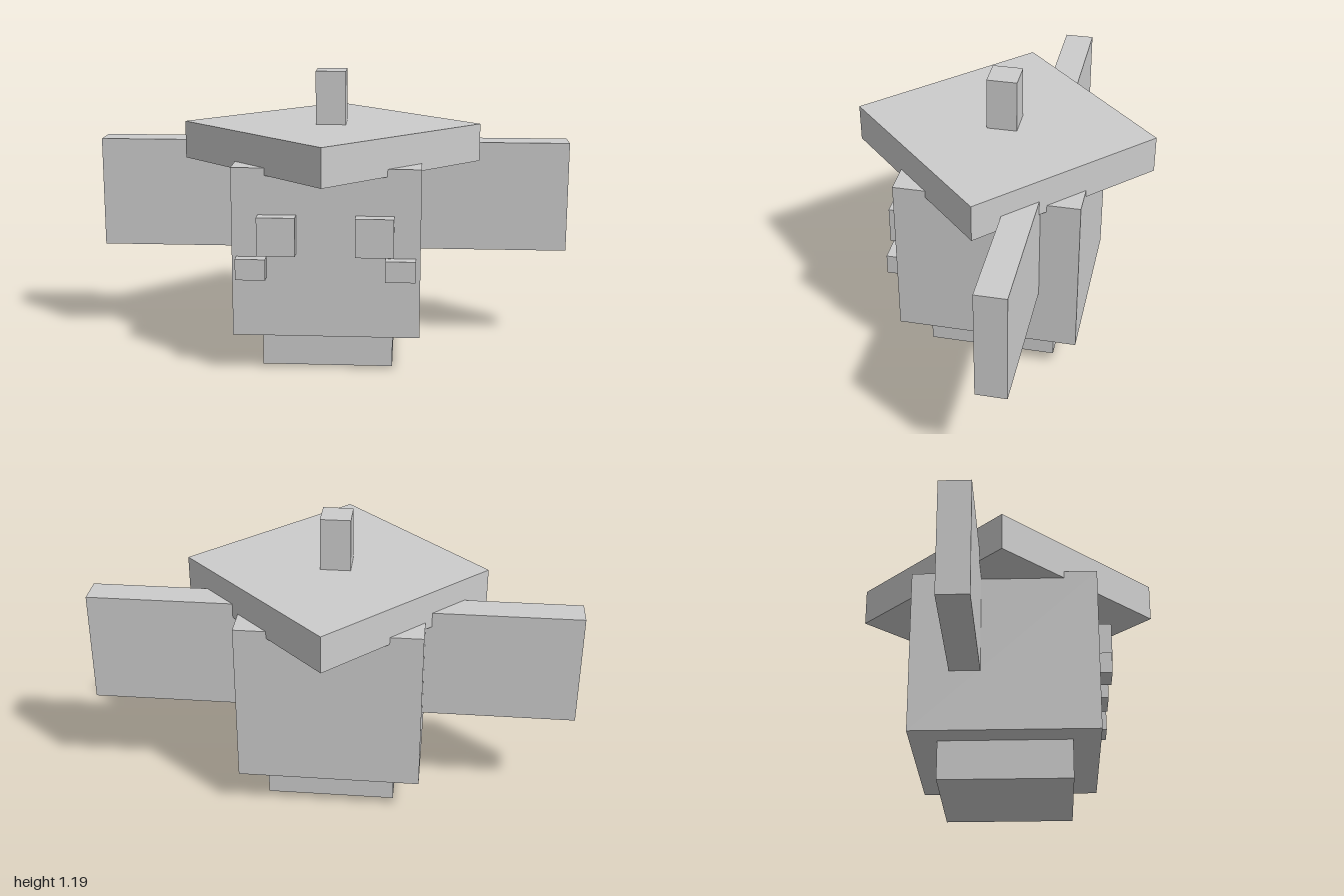
import * as THREE from 'three';

export function createModel() {
  const model = new THREE.Group();
  const grey = new THREE.MeshStandardMaterial({ color: 0xcccccc });
  grey.name = 'light grey';

  // Box given by its min and max on each axis
  function box(name, [x0, x1], [y0, y1], [z0, z1]) {
    const mesh = new THREE.Mesh(new THREE.BoxGeometry(x1 - x0, y1 - y0, z1 - z0), grey);
    mesh.position.set((x0 + x1) / 2, (y0 + y1) / 2, (z0 + z1) / 2);
    mesh.name = name;
    model.add(mesh);
    return mesh;
  }

  // Mirrored pair of boxes
  function pair(name, [x0, x1], y, z) {
    box('left' + name, [x0, x1], y, z);
    box('right' + name, [-x1, -x0], y, z);
  }

  box('base', [-0.266, 0.266], [0, 0.16], [-0.266, 0.266]);
  box('body', [-0.375, 0.375], [0.16, 0.846], [-0.375, 0.375]);

  // Square cap turned to a diamond, with a stem on top
  const half = 0.617 / Math.SQRT2;
  box('cap', [-half, half], [0.816, 0.971], [-half, half]).rotation.y = Math.PI / 4;
  box('stem', [-0.062, 0.062], [0.971, 1.191], [-0.062, 0.062]);

  pair('Wing', [0.375, 1], [0.41, 0.877], [-0.217, -0.093]);
  pair('Eye', [0.118, 0.27], [0.502, 0.658], [0.375, 0.43]);
  pair('Cheek', [0.237, 0.357], [0.402, 0.487], [0.375, 0.423]);

  return model;
}
